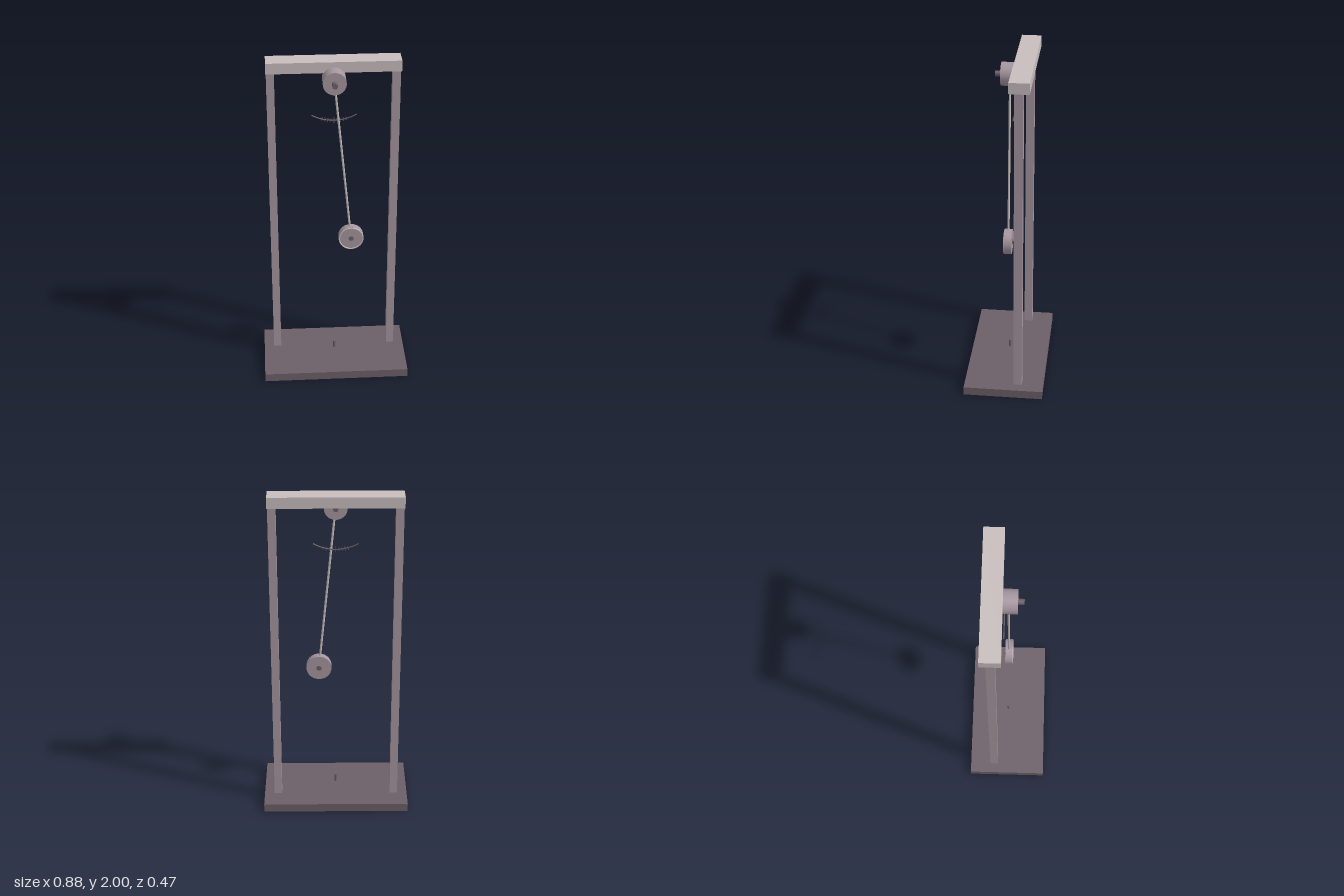
import * as THREE from 'three';

const material = (name, color) => {
  const m = new THREE.MeshStandardMaterial({ color });
  m.name = name;
  return m;
};

export function createModel() {
  const model = new THREE.Group();
  model.name = 'pendulumStand';
  const dark = material('dark mauve', 0x6c6068);
  const mid = material('mauve', 0xa796a0);
  const pale = material('pale mauve', 0xc8bebe);

  const add = (parent, name, geometry, mat, x = 0, y = 0, z = 0) => {
    const mesh = new THREE.Mesh(geometry, mat);
    mesh.name = name;
    mesh.position.set(x, y, z);
    parent.add(mesh);
    return mesh;
  };
  // cylinder lying along z between two depths
  const disc = (parent, name, r, z0, z1, mat, y = 0) =>
    add(parent, name, new THREE.CylinderGeometry(r, r, z1 - z0, 32).rotateX(Math.PI / 2), mat, 0, y, (z0 + z1) / 2);

  // frame
  add(model, 'base', new THREE.BoxGeometry(0.882, 0.052, 0.474), dark, 0, 0.026, 0);
  for (const side of [-1, 1]) {
    add(model, side > 0 ? 'leftPost' : 'rightPost',
      new THREE.BoxGeometry(0.046, 1.886, 0.05), mid, side * 0.358, 0.995, -0.085);
  }
  add(model, 'topBeam', new THREE.BoxGeometry(0.766, 0.064, 0.115), pale, 0, 1.968, -0.087);

  // bearing and axle
  const pivotY = 1.902;
  disc(model, 'bearing', 0.067, -0.05, 0.05, mid, pivotY);
  disc(model, 'axle', 0.016, -0.062, 0.084, dark, pivotY);

  // swinging pendulum, origin at the pivot
  const pendulum = new THREE.Group();
  pendulum.name = 'pendulum';
  pendulum.position.y = pivotY;
  pendulum.rotation.z = Math.atan2(0.1, 1.018);
  model.add(pendulum);
  const length = 1.023;
  add(pendulum, 'rod', new THREE.CylinderGeometry(0.0065, 0.0065, length, 16), pale, 0, -length / 2, 0);
  disc(pendulum, 'bob', 0.075, -0.022, 0.022, mid, -length);
  add(pendulum, 'bobRim', new THREE.TorusGeometry(0.0705, 0.0042, 8, 48), pale, 0, -length, 0.0215);
  disc(pendulum, 'bobNut', 0.015, -0.027, 0.025, dark, -length);

  // curved scale with radial ticks
  const scale = new THREE.Group();
  scale.name = 'scale';
  scale.position.set(0, pivotY, -0.024);
  model.add(scale);
  const radius = 0.255, sweep = 1.07;
  const arc = add(scale, 'scaleArc', new THREE.TorusGeometry(radius, 0.0035, 8, 32, sweep), dark);
  arc.rotation.z = -Math.PI / 2 - sweep / 2;
  for (let i = -4; i <= 4; i++) {
    const a = i * 0.07;
    const tick = add(scale, 'scaleTick', new THREE.BoxGeometry(0.004, i ? 0.022 : 0.032, 0.004), dark,
      Math.sin(a) * radius, -Math.cos(a) * radius, 0);
    tick.rotation.z = a;
  }

  // rest-position pin above the base
  add(model, 'centrePin', new THREE.CylinderGeometry(0.007, 0.007, 0.048, 16), dark, 0, 0.096, 0);
  return model;
}
